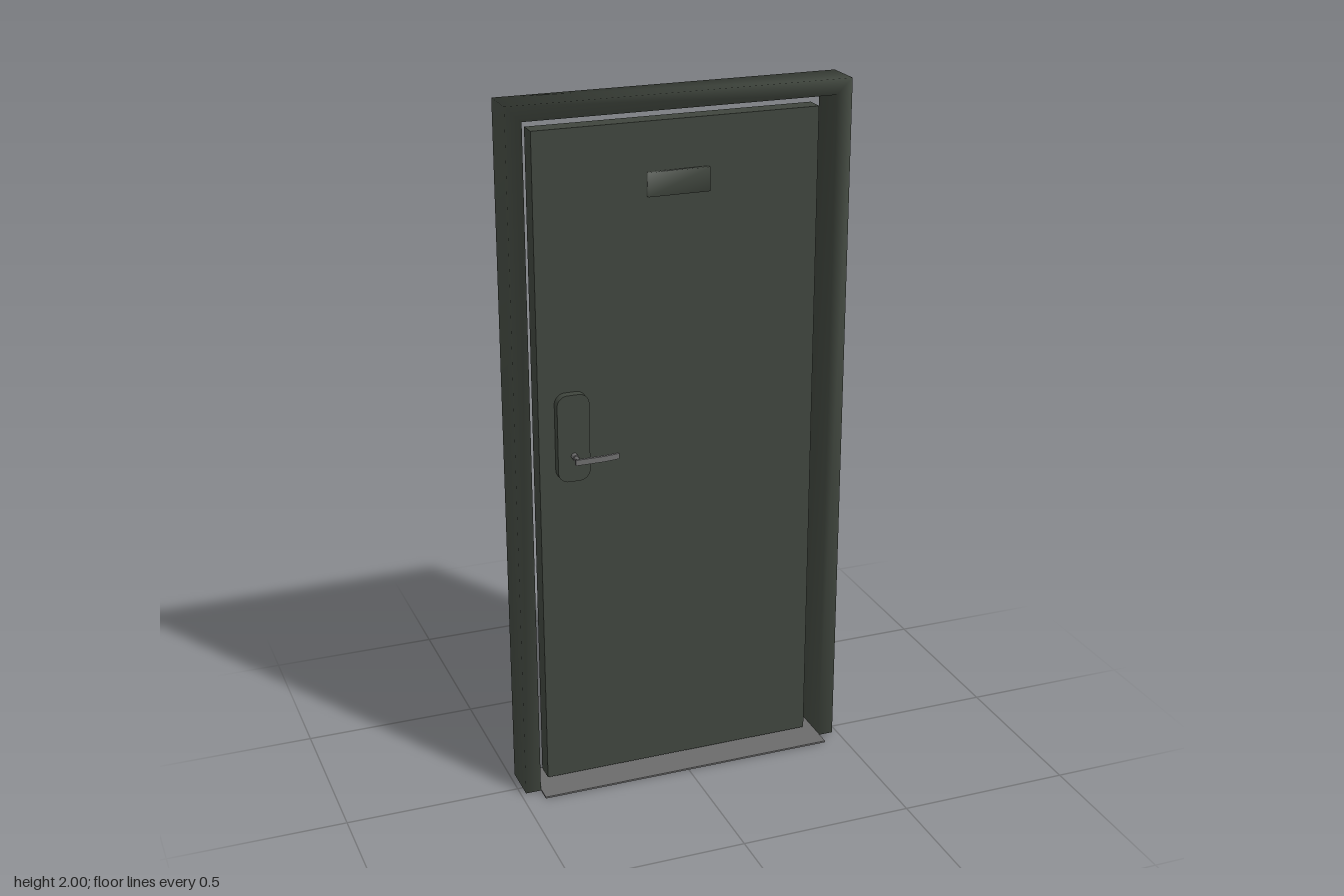
import * as THREE from 'three';
import { mergeVertices } from 'three/addons/utils/BufferGeometryUtils.js';

const paint = new THREE.MeshStandardMaterial({ color: 0x3f453d });
paint.name = 'dark green paint';
const steel = new THREE.MeshStandardMaterial({ color: 0x6b6b6b });
steel.name = 'grey steel';

function add(group, name, geometry, material, x = 0, y = 0, z = 0) {
  const mesh = new THREE.Mesh(geometry, material);
  mesh.name = name;
  mesh.position.set(x, y, z);
  group.add(mesh);
  return mesh;
}

// Box whose corners share one averaged normal, for a soft pillow look
function softBox(w, h, d) {
  const g = new THREE.BoxGeometry(w, h, d);
  g.deleteAttribute('normal');
  g.deleteAttribute('uv');
  const soft = mergeVertices(g);
  soft.computeVertexNormals();
  return soft;
}

// Mitred frame: a rectangular section swept up, across and down
function frameGeometry(xo, xi, yo, yi, zf, zb) {
  const stations = [
    [-xo, 0, -xi, 0], [-xo, yo, -xi, yi], [xo, yo, xi, yi], [xo, 0, xi, 0],
  ];
  const pos = [];
  const idx = [];
  const ring = ([ox, oy, ix, iy]) =>
    pos.push(ox, oy, zf, ix, iy, zf, ix, iy, zb, ox, oy, zb);
  stations.forEach(ring);
  for (let s = 0; s < 3; s++) {
    for (let k = 0; k < 4; k++) {
      const a = s * 4 + k, b = s * 4 + (k + 1) % 4;
      idx.push(a, b, b + 4, a, b + 4, a + 4);
    }
  }
  // flat feet with their own corners
  ring(stations[0]);
  ring(stations[3]);
  idx.push(16, 18, 17, 16, 19, 18, 20, 21, 22, 20, 22, 23);
  const g = new THREE.BufferGeometry();
  g.setAttribute('position', new THREE.Float32BufferAttribute(pos, 3));
  g.setIndex(idx);
  g.computeVertexNormals();
  return g;
}

function roundedRect(w, h, r) {
  const s = new THREE.Shape();
  const x = w / 2, y = h / 2;
  s.absarc(x - r, y - r, r, 0, Math.PI / 2);
  s.absarc(-x + r, y - r, r, Math.PI / 2, Math.PI);
  s.absarc(-x + r, -y + r, r, Math.PI, Math.PI * 1.5);
  s.absarc(x - r, -y + r, r, Math.PI * 1.5, Math.PI * 2);
  return s;
}

export function createModel() {
  const model = new THREE.Group();
  model.name = 'door';

  // Frame, leaf and threshold
  add(model, 'frame', frameGeometry(0.485, 0.44, 2, 1.957, 0.033, -0.08), paint);
  add(model, 'doorLeaf', new THREE.BoxGeometry(0.812, 1.907, 0.055), paint, 0, 0.9685, -0.0325);
  add(model, 'threshold', new THREE.BoxGeometry(0.88, 0.005, 0.16), steel, 0, 0.0025, 0);

  // Small plate near the top of the leaf
  add(model, 'namePlate', softBox(0.176, 0.066, 0.016), paint, -0.002, 1.754, 0.002);

  // Lock plate with rounded corners
  const plate = new THREE.ExtrudeGeometry(roundedRect(0.092, 0.252, 0.03), {
    depth: 0.025, bevelEnabled: false, curveSegments: 6,
  });
  add(model, 'lockPlate', plate, paint, -0.314, 1.071, -0.005);

  // Handle: collar, neck and curved lever
  const handle = new THREE.Group();
  handle.name = 'handle';
  handle.position.set(-0.314, 1.02, 0);
  model.add(handle);
  const collar = add(handle, 'collar', new THREE.CylinderGeometry(0.009, 0.009, 0.018, 16), steel, 0, 0, 0.028);
  const neck = add(handle, 'neck', new THREE.CylinderGeometry(0.006, 0.006, 0.035, 12), steel, 0, 0, 0.05);
  collar.rotation.x = neck.rotation.x = Math.PI / 2;

  const lever = new THREE.Shape();
  lever.moveTo(-0.012, 0.063);
  lever.lineTo(0.05, 0.063);
  lever.quadraticCurveTo(0.085, 0.063, 0.114, 0.057);
  lever.lineTo(0.115, 0.064);
  lever.quadraticCurveTo(0.085, 0.071, 0.05, 0.071);
  lever.lineTo(-0.012, 0.071);
  const leverGeometry = new THREE.ExtrudeGeometry(lever, {
    depth: 0.016, bevelEnabled: false, curveSegments: 6,
  });
  leverGeometry.rotateX(Math.PI / 2);
  add(handle, 'lever', leverGeometry, steel, 0, 0.008, 0);

  return model;
}
